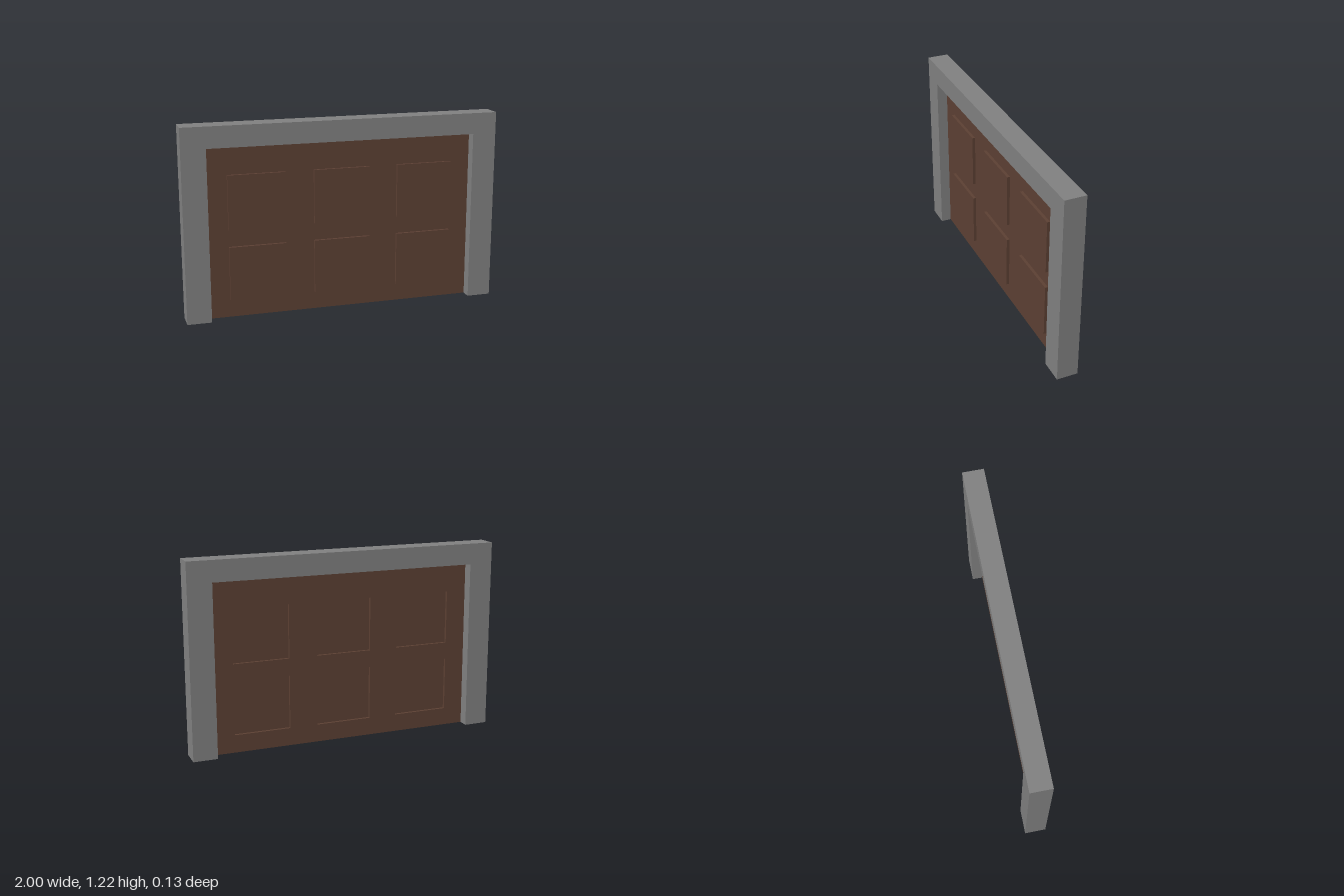
import * as THREE from 'three';

const W = 0.848, TOP = 1.083;          // door opening half width and height
const PW = 0.359, PH = 0.341;          // panel size
const RAISE = 0.018;                   // how far panels stand forward of the sheet

const frameGrey = new THREE.MeshStandardMaterial({ color: 0x808080 });
frameGrey.name = 'frameGrey';
const doorBrown = new THREE.MeshStandardMaterial({ color: 0x5c4033, side: THREE.DoubleSide });
doorBrown.name = 'doorBrown';

function addMesh(parent, name, geometry, material, x = 0, y = 0, z = 0) {
  const mesh = new THREE.Mesh(geometry, material);
  mesh.name = name;
  mesh.position.set(x, y, z);
  parent.add(mesh);
  return mesh;
}

const outline = (points) => points.map(([x, y]) => new THREE.Vector2(x, y));

export function createModel() {
  const model = new THREE.Group();
  model.name = 'garageDoor';

  // Surround: two jambs and a lintel in one piece
  const surround = new THREE.Shape(outline([
    [-1, 0], [-W, 0], [-W, TOP], [W, TOP], [W, 0], [1, 0], [1, 1.216], [-1, 1.216],
  ]));
  const depth = 0.134;
  addMesh(model, 'surround',
    new THREE.ExtrudeGeometry(surround, { depth, bevelEnabled: false }), frameGrey, 0, 0, -depth / 2);

  // Thin door sheet with pressed panels: raised in front, hollow behind
  const door = new THREE.Group();
  door.name = 'door';
  model.add(door);
  const sheet = new THREE.Shape(outline([[-W, 0], [W, 0], [W, TOP], [-W, TOP]]));

  for (const y of [0.283, 0.734]) {
    for (const x of [-0.54, 0, 0.54]) {
      const l = x - PW / 2, r = x + PW / 2, b = y - PH / 2, t = y + PH / 2;
      sheet.holes.push(new THREE.Path(outline([[l, b], [l, t], [r, t], [r, b]])));

      const panel = new THREE.Group();
      panel.name = 'panel';
      panel.position.set(x, y, 0);
      door.add(panel);
      addMesh(panel, 'panelFace', new THREE.PlaneGeometry(PW, PH), doorBrown, 0, 0, RAISE);
      // Panel edges joining the face to the sheet
      for (const s of [-1, 1]) {
        addMesh(panel, 'panelSide', new THREE.PlaneGeometry(RAISE, PH), doorBrown,
          s * PW / 2, 0, RAISE / 2).rotation.y = s * Math.PI / 2;
        addMesh(panel, 'panelEdge', new THREE.PlaneGeometry(PW, RAISE), doorBrown,
          0, s * PH / 2, RAISE / 2).rotation.x = -s * Math.PI / 2;
      }
    }
  }
  addMesh(door, 'doorSheet', new THREE.ShapeGeometry(sheet), doorBrown);

  return model;
}
